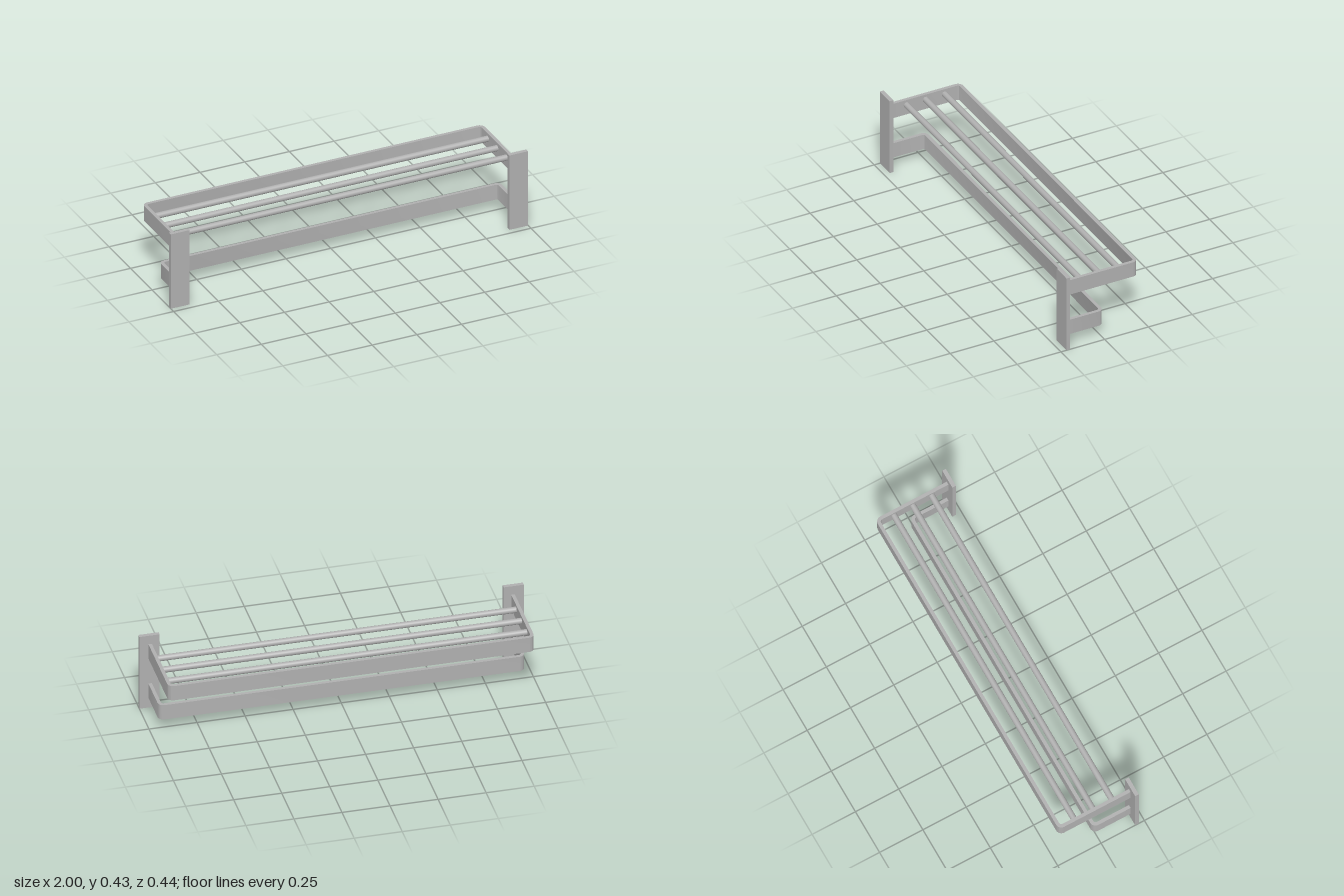
import * as THREE from 'three';
import { toCreasedNormals } from 'three/addons/utils/BufferGeometryUtils.js';

const PLATE_BACK = 0.197; // z where the bands meet the wall plates
const OUTER_X = 0.953;
const THICK = 0.018;

export function createModel() {
  const model = new THREE.Group();
  model.name = 'towelRack';
  const steel = new THREE.MeshStandardMaterial({ color: 0xb0b0b0 });
  steel.name = 'brushedSteel';

  const add = (name, geometry, x = 0, y = 0, z = 0) => {
    const mesh = new THREE.Mesh(geometry, steel);
    mesh.name = name;
    mesh.position.set(x, y, z);
    model.add(mesh);
    return mesh;
  };

  // Flat U-shaped band with rounded corners, reaching to z = -reach
  const bandGeometry = (reach, height) => {
    const xo = OUTER_X, xi = OUTER_X - THICK, ri = reach - THICK;
    const r = 0.03, q = r - THICK;
    const s = new THREE.Shape();
    s.moveTo(xo, -PLATE_BACK);
    s.lineTo(xo, reach - r);
    s.absarc(xo - r, reach - r, r, 0, Math.PI / 2, false);
    s.lineTo(-xo + r, reach);
    s.absarc(-xo + r, reach - r, r, Math.PI / 2, Math.PI, false);
    s.lineTo(-xo, -PLATE_BACK);
    s.lineTo(-xi, -PLATE_BACK);
    s.lineTo(-xi, ri - q);
    s.absarc(-xi + q, ri - q, q, Math.PI, Math.PI / 2, true);
    s.lineTo(xi - q, ri);
    s.absarc(xi - q, ri - q, q, Math.PI / 2, 0, true);
    s.lineTo(xi, -PLATE_BACK);
    const g = new THREE.ExtrudeGeometry(s, { depth: height, bevelEnabled: false, curveSegments: 10 });
    g.rotateX(-Math.PI / 2);
    return toCreasedNormals(g, 0.6);
  };
  add('shelfBand', bandGeometry(0.217, 0.085), 0, 0.293, 0);
  add('towelBand', bandGeometry(0.02, 0.085), 0, 0.058, 0);

  // Wall plates
  for (const [name, side] of [['leftPlate', 1], ['rightPlate', -1]]) {
    add(name, new THREE.BoxGeometry(0.105, 0.428, 0.021), side * 0.9475, 0.214, 0.2075);
  }

  // Round shelf bars between the band's arms
  const bar = new THREE.CylinderGeometry(0.016, 0.016, 2 * (OUTER_X - THICK) + 0.004, 32);
  bar.rotateZ(Math.PI / 2);
  [-0.118, -0.009, 0.1].forEach((z, i) => add(`shelfBar${i + 1}`, bar, 0, 0.349, z));

  return model;
}
